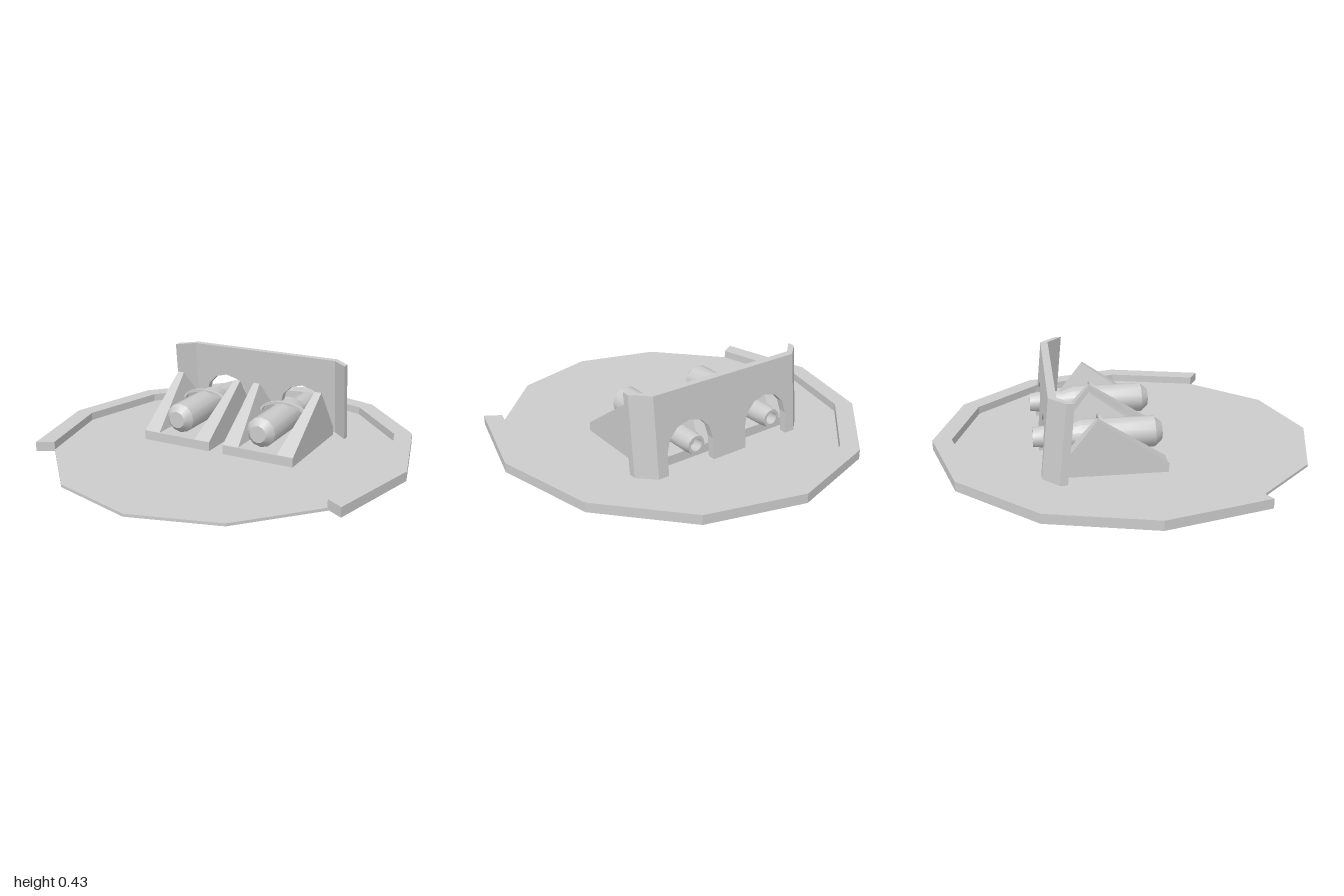
import * as THREE from 'three';
import { toCreasedNormals } from 'three/addons/utils/BufferGeometryUtils.js';

const material = new THREE.MeshStandardMaterial({ color: 0xcccccc });
const V = (x, y) => new THREE.Vector2(x, y);

function addMesh(parent, name, geometry, crease = 0.4) {
  const mesh = new THREE.Mesh(toCreasedNormals(geometry, crease), material);
  mesh.name = name;
  parent.add(mesh);
  return mesh;
}

function extrude(points, depth) {
  return new THREE.ExtrudeGeometry(new THREE.Shape(points), { depth, bevelEnabled: false });
}

// Points of a twelve-sided oval, step 0 at the back; y holds -z
function oval(rx, rz, from, to) {
  const points = [];
  for (let k = from; k <= to; k++) {
    const a = k * Math.PI / 6;
    points.push(V(rx * Math.sin(a), rz * Math.cos(a) - 0.05));
  }
  return points;
}

// Triangular cheek whose inner face leans outward; side is -1 or +1
function cheekGeometry(side) {
  const profile = [[0.17, 0.06], [-0.18, 0.305], [-0.37, 0.06]]; // z, y
  const inner = [0.107, 0.16, 0.107];
  const outerRing = profile.map(([z, y]) => [0.197 * side, y, z]);
  const innerRing = profile.map(([z, y], i) => [inner[i] * side, y, z]);
  const corners = [...outerRing, ...innerRing];
  const faces = [[0, 2, 1], [3, 4, 5]];
  for (let i = 0; i < 3; i++) {
    const j = (i + 1) % 3;
    faces.push([i, j, j + 3], [i, j + 3, i + 3]);
  }
  const positions = [];
  for (const f of faces) {
    const order = side > 0 ? [f[0], f[2], f[1]] : f;
    for (const c of order) positions.push(...corners[c]);
  }
  const geometry = new THREE.BufferGeometry();
  geometry.setAttribute('position', new THREE.Float32BufferAttribute(positions, 3));
  // Turn the faces outward if the signed volume is negative
  let volume = 0;
  const a = new THREE.Vector3(), b = new THREE.Vector3(), c = new THREE.Vector3();
  const mid = new THREE.Vector3(0.15 * side, 0.14, -0.12);
  const p = geometry.attributes.position;
  for (let i = 0; i < p.count; i += 3) {
    a.fromBufferAttribute(p, i).sub(mid);
    b.fromBufferAttribute(p, i + 1).sub(mid);
    c.fromBufferAttribute(p, i + 2).sub(mid);
    volume += a.dot(b.cross(c));
  }
  if (volume < 0) {
    for (let i = 0; i < p.count; i += 3) {
      a.fromBufferAttribute(p, i + 1);
      b.fromBufferAttribute(p, i + 2);
      p.setXYZ(i + 1, b.x, b.y, b.z);
      p.setXYZ(i + 2, a.x, a.y, a.z);
    }
  }
  geometry.computeVertexNormals();
  return geometry;
}

// Canister with a bevelled front, a tapered shoulder and a hollow rear nozzle
function barrelGeometry() {
  const profile = [
    [0, -0.43], [0.033, -0.43], [0.033, -0.485], [0.048, -0.485], [0.055, -0.43],
    [0.055, -0.31], [0.079, -0.24], [0.079, 0.125], [0.045, 0.163], [0, 0.163],
  ].map(([r, z]) => V(r, z));
  return new THREE.LatheGeometry(profile, 12).rotateX(Math.PI / 2).translate(0, 0.151, 0);
}

// Thin band arching over the canister from cheek to cheek
function clampGeometry() {
  const points = [];
  const n = 12;
  for (let i = 0; i <= n; i++) {
    const a = Math.PI * i / n;
    points.push(V(0.137 * Math.cos(a), 0.175 + 0.062 * Math.sin(a)));
  }
  for (let i = n; i >= 0; i--) {
    const a = Math.PI * i / n;
    points.push(V(0.122 * Math.cos(a), 0.175 + 0.048 * Math.sin(a)));
  }
  return extrude(points, 0.02).translate(0, 0, -0.155);
}

// Upright plate with two arched openings along its lower edge
function plateGeometry() {
  const points = [V(-0.43, 0.012)];
  for (const cx of [-0.237, 0.237]) {
    points.push(V(cx - 0.135, 0.012));
    for (let i = 0; i <= 6; i++) {
      const a = Math.PI * (1 - i / 6);
      points.push(V(cx + 0.135 * Math.cos(a), 0.127 + 0.135 * Math.sin(a)));
    }
    points.push(V(cx + 0.135, 0.012));
  }
  points.push(V(0.43, 0.012), V(0.43, 0.43), V(-0.43, 0.43));
  return extrude(points, 0.04).translate(0, 0, -0.41);
}

// Angled wing at one end of the plate
function wingGeometry(side) {
  const plan = [[0.43, 0.37], [0.515, 0.29], [0.515, 0.33], [0.43, 0.41]];
  return extrude(plan.map(([x, y]) => V(x * side, y)), 0.418)
    .rotateX(-Math.PI / 2).translate(0, 0.012, 0);
}

// Tilt the shield so that its foot lies further back than its top
function lean(geometry) {
  const p = geometry.attributes.position;
  for (let i = 0; i < p.count; i++) {
    p.setZ(i, p.getZ(i) - 0.1 * (0.43 - p.getY(i)));
  }
  return geometry;
}

export function createModel() {
  const model = new THREE.Group();
  model.name = 'twinLauncherPlatform';

  // Floor and the raised rim around its back
  addMesh(model, 'floor', extrude(oval(0.88, 0.95, 0, 11), 0.014).rotateX(-Math.PI / 2), 0.1);
  const rim = [...oval(0.975, 1.05, -4, 4), ...oval(0.88, 0.95, -4, 4).reverse()];
  addMesh(model, 'rim', extrude(rim, 0.05).rotateX(-Math.PI / 2).translate(0, 0.006, 0), 0.1);

  // Two matching cradles, each holding a canister
  for (const side of [-1, 1]) {
    const launcher = new THREE.Group();
    launcher.name = side < 0 ? 'rightLauncher' : 'leftLauncher';
    launcher.position.x = 0.237 * side;
    addMesh(launcher, 'cradleBase', new THREE.BoxGeometry(0.394, 0.053, 0.54).translate(0, 0.0365, -0.1));
    for (const s of [-1, 1]) addMesh(launcher, 'cradleCheek', cheekGeometry(s), 0.1);
    addMesh(launcher, 'canister', barrelGeometry(), 0.6);
    addMesh(launcher, 'clamp', clampGeometry(), 0.6);
    model.add(launcher);
  }

  // Leaning shield
  const shield = new THREE.Group();
  shield.name = 'shield';
  addMesh(shield, 'shieldPlate', lean(plateGeometry()), 0.1);
  for (const s of [-1, 1]) addMesh(shield, 'shieldWing', lean(wingGeometry(s)), 0.1);
  model.add(shield);

  return model;
}
